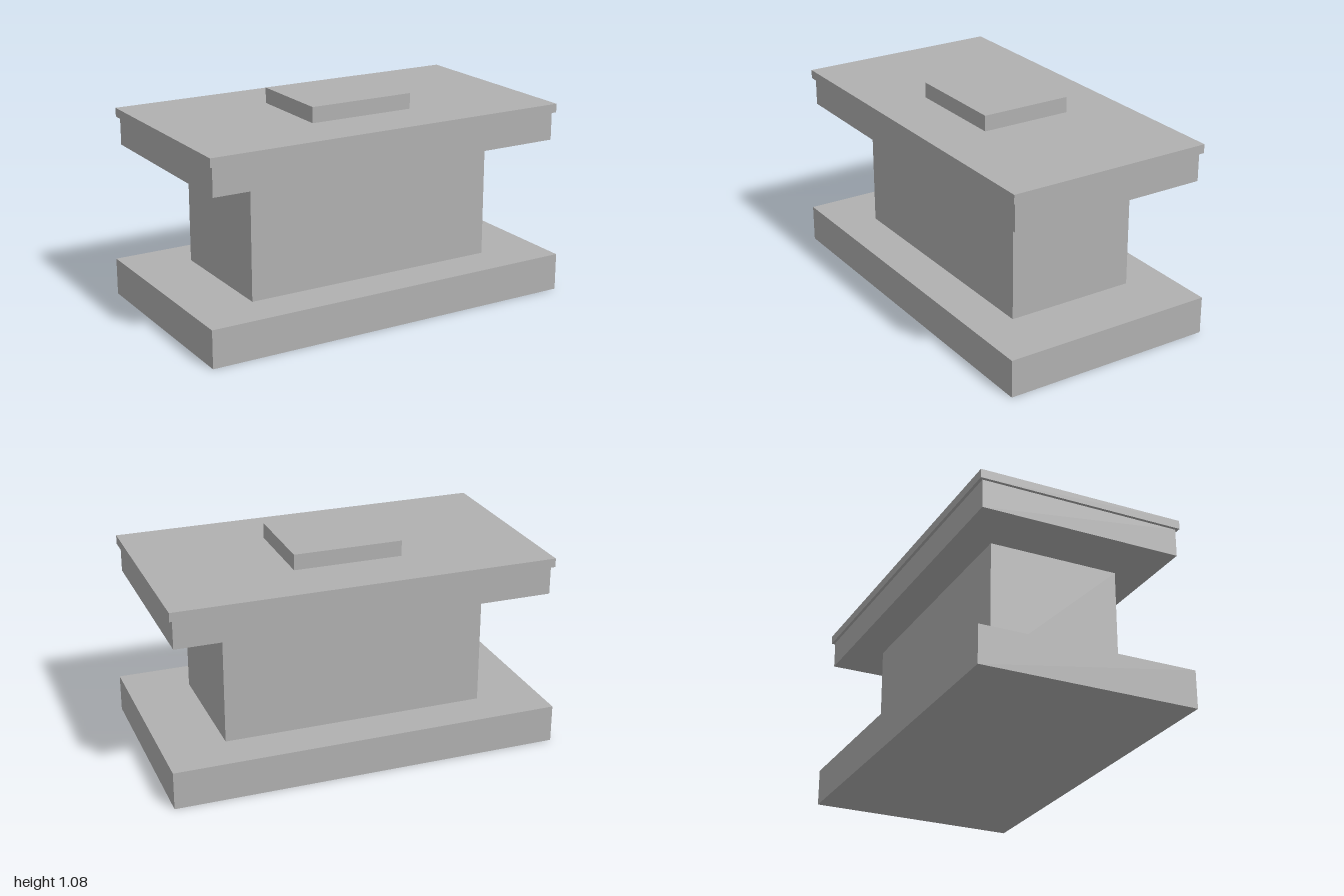
import * as THREE from 'three';

export function createModel() {
  const model = new THREE.Group();
  model.name = 'pedestalTable';

  const stone = new THREE.MeshStandardMaterial({ color: 0xb0b0b0 });
  stone.name = 'grey stone';

  // Stacked blocks: name, width, depth, bottom, top
  const blocks = [
    ['base', 2, 1.117, 0, 0.193],
    ['pedestal', 1.355, 0.68, 0.193, 0.81],
    ['apron', 1.92, 1.04, 0.81, 0.955],
    ['tableTop', 1.952, 1.07, 0.955, 1.0],
    ['raisedPlate', 0.56, 0.476, 1.0, 1.08],
  ];

  for (const [name, width, depth, bottom, top] of blocks) {
    const block = new THREE.Mesh(new THREE.BoxGeometry(width, top - bottom, depth), stone);
    block.name = name;
    block.position.y = (bottom + top) / 2;
    model.add(block);
  }

  return model;
}
